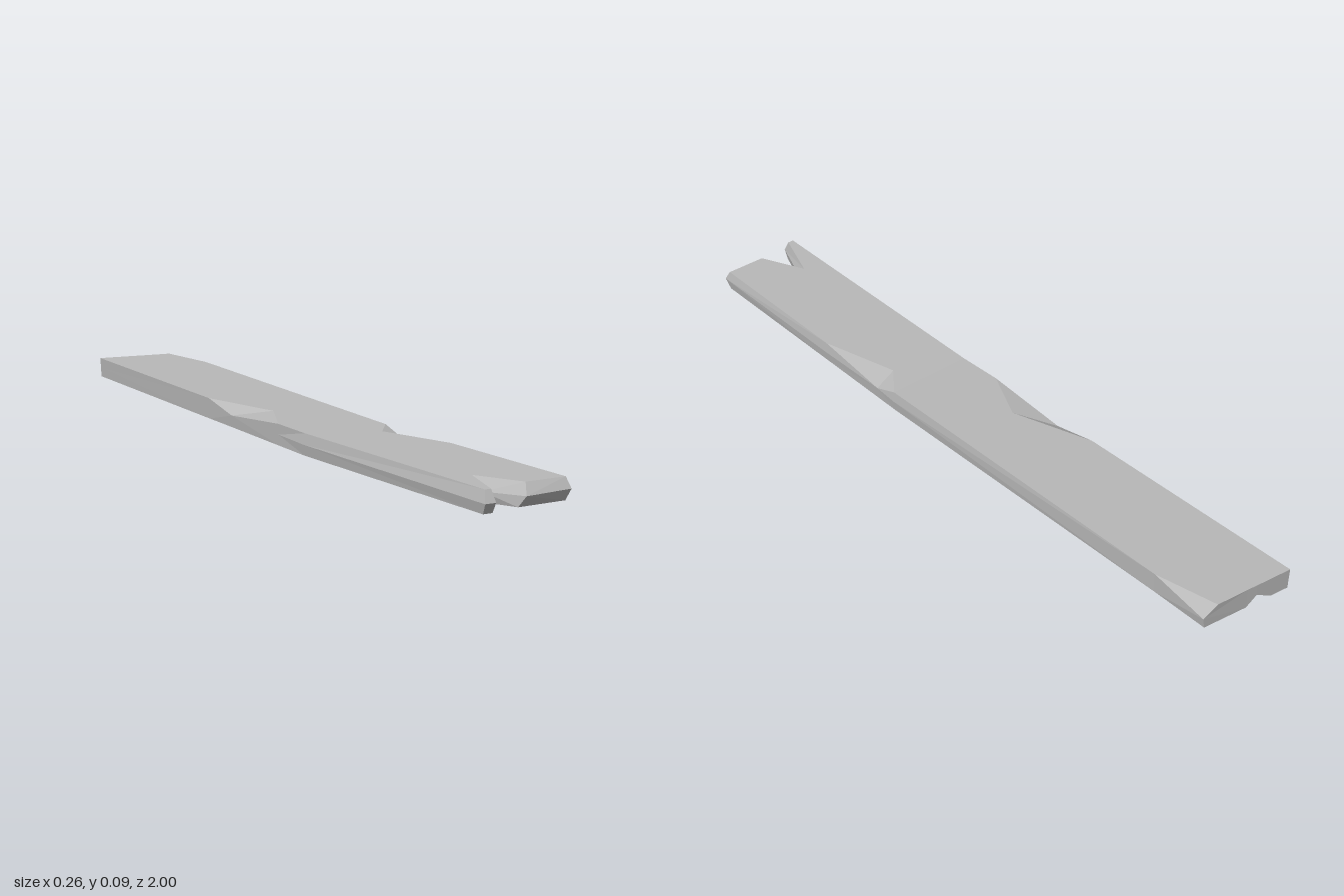
import * as THREE from 'three';

// Heights of the slightly bent board: the crease lies at z = 0.2
const topY = z => z > 0.2 ? 0.058 + 0.005 * (z - 0.2) : 0.058 + 0.025 * (0.2 - z);
const bottomY = z => z > 0.2 ? 0.007 * (z - 0.2) : 0.0268 * (0.2 - z);

// Outline point: top [x,z], bottom [x,z], optional mid [x,y,z]; chipped points fold at mid
function point(t, b = t, m = null, chip = false) {
  const top = new THREE.Vector3(t[0], topY(t[1]), t[1]);
  const bottom = new THREE.Vector3(b[0], bottomY(b[1]), b[1]);
  const mid = m ? new THREE.Vector3(...m) : top.clone().add(bottom).multiplyScalar(0.5);
  return { top, mid, bottom, chip };
}

function plankGeometry() {
  // Outline walked anticlockwise as seen from above
  const ring = [
    point([0.12, 0.965], [0.12, 0.965], [0.126, 0.035, 0.98]),
    // chip in the left edge
    point([0.121, 0.5], [0.12, 0.5], [0.124, 0.03, 0.5]),
    point([0.06, 0.28], [0.12, 0.28], [0.124, 0.035, 0.27], true),
    point([0.121, 0.2], [0.12, 0.2], [0.124, 0.029, 0.2]),
    // broken back corner
    point([0.124, -0.8], [0.122, -0.8]),
    point([0.09, -0.976], [0.125, -0.97], [0.13, 0.06, -0.97], true),
    // groove under the back end
    point([0, -0.985]),
    point([-0.03, -0.989], [-0.05, -0.63], [-0.03, 0.057, -0.989], true),
    point([-0.075, -0.994]),
    point([-0.13, -1], [-0.127, -1]),
    // chip in the right edge
    point([-0.127, -0.31], [-0.125, -0.31]),
    point([-0.055, -0.08], [-0.124, -0.18], [-0.127, 0.043, -0.18], true),
    point([-0.126, 0.07], [-0.124, 0.07]),
    point([-0.123, 0.2], [-0.124, 0.2], [-0.128, 0.029, 0.2]),
    // split front end: narrow prong, notch, wide prong
    point([-0.121, 0.985], [-0.125, 0.985], [-0.13, 0.032, 1]),
    point([-0.104, 0.985], [-0.099, 0.985], [-0.1, 0.032, 1]),
    point([-0.055, 0.84], [-0.06, 0.87], [-0.06, 0.032, 0.89]),
    point([0.006, 0.965], [-0.016, 0.968], [-0.005, 0.033, 0.985]),
  ];
  const creaseLeft = 3, creaseRight = 13;
  const out = [];
  const tri = (...corners) => corners.forEach(v => out.push(v.x, v.y, v.z));

  // Side walls in two bands
  ring.forEach((p, i) => {
    const q = ring[(i + 1) % ring.length];
    for (const [lo, hi] of [['mid', 'top'], ['bottom', 'mid']]) {
      if ((lo === 'mid') === q.chip) {
        tri(p[lo], q[lo], p[hi]);
        tri(q[lo], q[hi], p[hi]);
      } else {
        tri(p[lo], q[lo], q[hi]);
        tri(p[lo], q[hi], p[hi]);
      }
    }
  });

  // Top and bottom, each folded along the crease
  const rear = ring.slice(creaseLeft, creaseRight + 1);
  const front = [...ring.slice(creaseRight), ...ring.slice(0, creaseLeft + 1)];
  for (const part of [rear, front]) {
    for (const side of ['top', 'bottom']) {
      const pts = part.map(p => p[side]);
      const flat = pts.map(v => new THREE.Vector2(v.x, -v.z));
      for (const [a, b, c] of THREE.ShapeUtils.triangulateShape(flat, [])) {
        if (side === 'top') tri(pts[a], pts[b], pts[c]);
        else tri(pts[a], pts[c], pts[b]);
      }
    }
  }

  const geometry = new THREE.BufferGeometry();
  geometry.setAttribute('position', new THREE.Float32BufferAttribute(out, 3));
  geometry.computeVertexNormals();
  return geometry;
}

export function createModel() {
  const group = new THREE.Group();
  group.name = 'brokenPlank';
  const grey = new THREE.MeshStandardMaterial({ color: 0xb8b8b8, flatShading: true });
  grey.name = 'weatheredGrey';
  const plank = new THREE.Mesh(plankGeometry(), grey);
  plank.name = 'plank';
  group.add(plank);
  return group;
}
